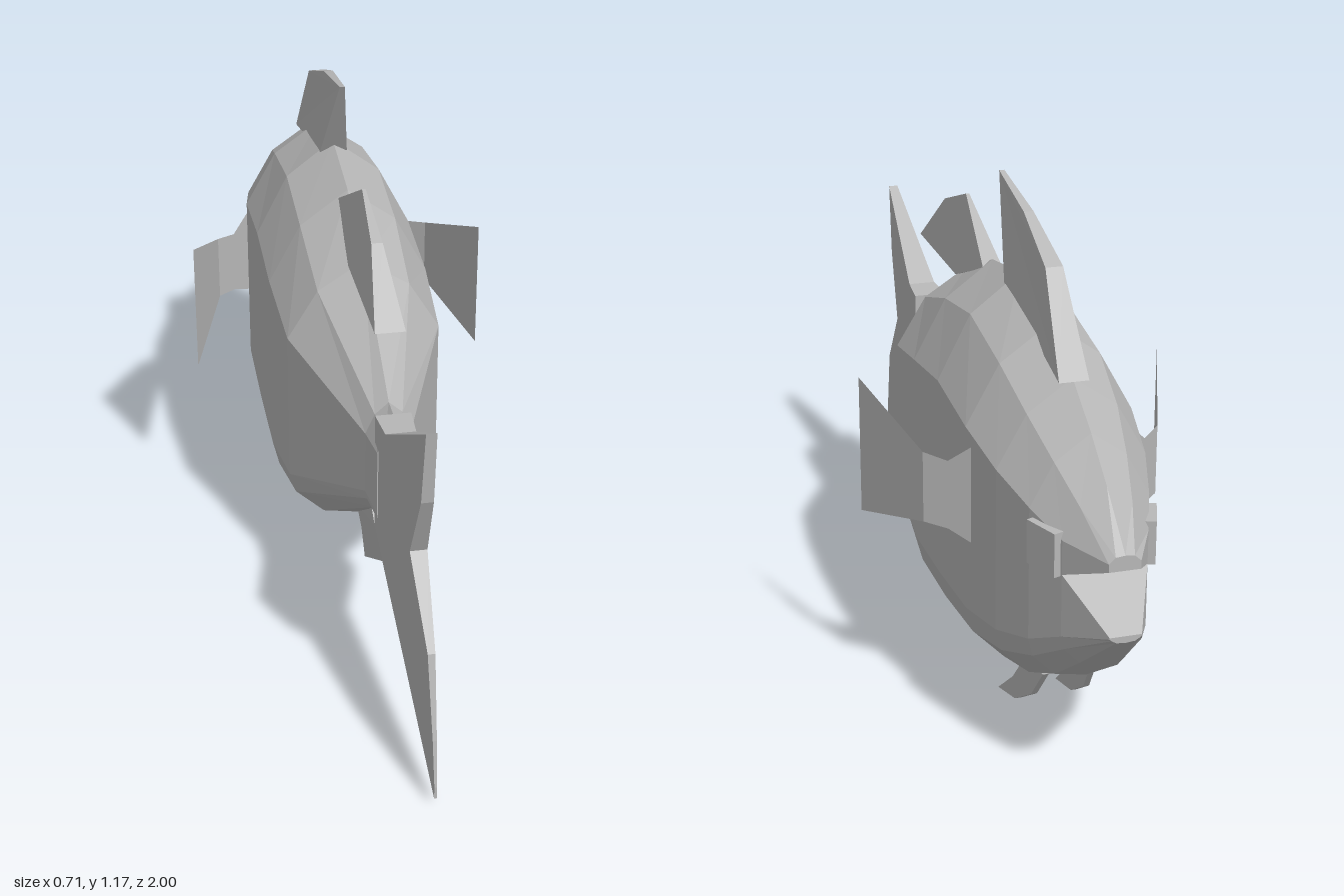
import * as THREE from 'three';

const grey = new THREE.MeshStandardMaterial({ color: 0xb8b8b8, flatShading: true, side: THREE.DoubleSide });
grey.name = 'grey';

// Skin a list of closed rings (each clockwise seen from +z, ordered from +z to -z) and cap the ends.
function loft(rings) {
  const n = rings[0].length, idx = [], last = (rings.length - 1) * n;
  for (let i = 0; i < rings.length - 1; i++) {
    for (let j = 0; j < n; j++) {
      const a = i * n + j, b = i * n + (j + 1) % n;
      idx.push(a, b, b + n, a, b + n, a + n);
    }
  }
  for (let k = 1; k < n - 1; k++) idx.push(0, k + 1, k, last, last + k, last + k + 1);
  return geometryFrom(rings.flat(2), idx);
}

function geometryFrom(positions, idx) {
  let g = new THREE.BufferGeometry();
  g.setAttribute('position', new THREE.Float32BufferAttribute(positions, 3));
  g.setIndex(idx);
  g = g.toNonIndexed();
  g.computeVertexNormals();
  return g;
}

// Complete a +x half outline with its -x mirror; points on the centre line are kept once.
function mirrorRing(half) {
  const other = half.filter(p => p[0] > 0).reverse().map(([x, y, z]) => [-x, y, z]);
  return [...half, ...other];
}

// Side outline in (z, y), thickened across x by a half-thickness rule.
function fin(outline, halfAt, xAt = () => 0) {
  const shape = new THREE.Shape(outline.map(([z, y]) => new THREE.Vector2(z, y)));
  const g = new THREE.ExtrudeGeometry(shape, { depth: 1, bevelEnabled: false });
  const p = g.attributes.position;
  for (let i = 0; i < p.count; i++) {
    const z = p.getX(i), y = p.getY(i), side = 1 - 2 * p.getZ(i);
    p.setXYZ(i, xAt(y) + side * halfAt(z, y), y, z);
  }
  g.computeVertexNormals();
  return g;
}

// Linear blend from a at t0 to b at t1, clamped.
const ramp = (t, t0, t1, a, b) => a + (b - a) * THREE.MathUtils.clamp((t - t0) / (t1 - t0), 0, 1);

export function createModel() {
  const model = new THREE.Group();
  model.name = 'fish';
  const add = (name, geometry) => {
    const mesh = new THREE.Mesh(geometry, grey);
    mesh.name = name;
    model.add(mesh);
    return mesh;
  };

  // Body: one half profile scaled to each station [z, top, bottom, half width]
  const profile = [[0, 1], [0.6, 0.9], [1, 0.73], [1, 0.54], [1, 0.19], [0.92, 0.115], [0.54, 0.023], [0, 0]];
  const stations = [
    [0.53, 0.67, 0.38, 0.04], [0.45, 0.67, 0.39, 0.052], [0.14, 0.86, 0.17, 0.178],
    [-0.07, 0.94, 0.1, 0.19], [-0.28, 0.975, 0.1, 0.19], [-0.5, 0.93, 0.13, 0.188],
    [-0.65, 0.86, 0.17, 0.165], [-0.77, 0.785, 0.23, 0.13], [-0.87, 0.71, 0.31, 0.092],
  ];
  const halves = stations.map(([z, top, bottom, w]) =>
    profile.map(([x, t]) => [x * w, bottom + t * (top - bottom), z]));
  add('body', loft(halves.map(mirrorRing)));

  // Jaws: the upper and lower halves of the last station taper to the lips
  const face = halves[halves.length - 1];
  const upperLip = [[0, 0.61, -0.985], [0.02, 0.608, -0.985], [0.034, 0.595, -0.985], [0.034, 0.577, -0.985]];
  const lowerLip = [[0.034, 0.44, -1], [0.034, 0.437, -1], [0.03, 0.433, -1], [0.02, 0.427, -1], [0, 0.425, -1]];
  add('upperJaw', loft([face.slice(0, 4), upperLip].map(mirrorRing)));
  add('lowerJaw', loft([face.slice(3), lowerLip].map(mirrorRing)));

  // Tail fin, thinning towards its tips
  add('tailFin', fin([
    [0.5, 0.67], [0.585, 0.675], [0.885, 0.86], [0.86, 0.68], [0.785, 0.51],
    [0.93, 0.35], [0.98, 0.16], [1, 0.05], [1, 0.02], [0.5, 0.385],
  ], z => ramp(z, 0.5, 1, 0.04, 0.003)));

  // Fins along the back, wedge shaped with a thin upper edge
  add('frontDorsalFin', fin([
    [-0.14, 1.17], [-0.34, 1.13], [-0.52, 1.06], [-0.66, 0.855], [-0.27, 0.95],
  ], (z, y) => ramp(y, 0.95, 1.17, 0.033, 0.006)));
  add('rearDorsalFin', fin([
    [-0.07, 0.92], [0.14, 1.04], [0.3, 0.985], [0.46, 0.85], [0.13, 0.845],
  ], (z, y) => ramp(y, 0.85, 1.04, 0.034, 0.004)));

  // Fin under the tail
  add('analFin', fin([
    [0.525, 0.3], [0.2, 0.08], [0.195, 0.165], [0.15, 0.2], [0.4, 0.38], [0.45, 0.345],
  ], (z, y) => ramp(y, 0.08, 0.35, 0.006, 0.03)));

  // Paired parts
  for (const [side, s] of [['left', 1], ['right', -1]]) {
    // Belly fins, splayed outwards a little
    add(side + 'PelvicFin', fin([
      [-0.38, 0.0], [-0.5, 0.035], [-0.6, 0.1], [-0.66, 0.18], [-0.55, 0.17], [-0.51, 0.125], [-0.47, 0.075],
    ], () => 0.007, y => s * (0.06 + (0.11 - y) * 0.09)));

    // Side fins: a thin strip of [x, low y, high y, z] rows
    const rows = [[0.18, 0.45, 0.68, -0.53], [0.225, 0.475, 0.635, -0.49], [0.27, 0.48, 0.645, -0.45], [0.355, 0.415, 0.74, -0.215]];
    const points = rows.flatMap(([x, low, high, z]) => [s * x, low, z, s * x, high, z]);
    const idx = [];
    for (let i = 0; i < rows.length - 1; i++) {
      const a = 2 * i;
      idx.push(...(s > 0 ? [a, a + 1, a + 3, a, a + 3, a + 2] : [a, a + 3, a + 1, a, a + 2, a + 3]));
    }
    add(side + 'PectoralFin', geometryFrom(points, idx));

    // Eyes: low blocks set into the head
    const eye = add(side + 'Eye', new THREE.BoxGeometry(0.04, 0.097, 0.09));
    eye.position.set(s * 0.106, 0.57, -0.822);
    eye.rotation.y = s * 0.36;
  }
  return model;
}
